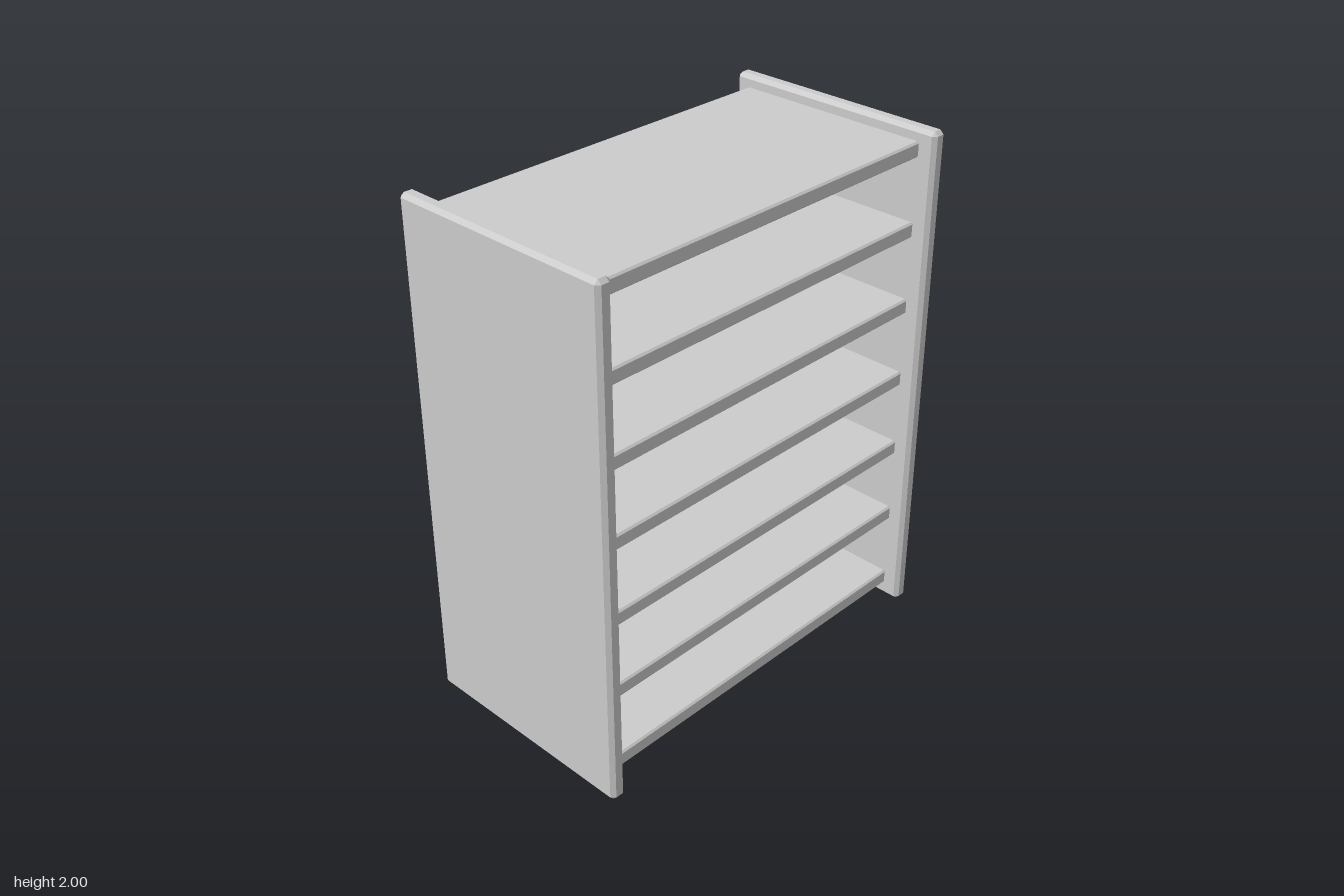
import * as THREE from 'three';
import { ConvexGeometry } from 'three/addons/geometries/ConvexGeometry.js';

const material = new THREE.MeshStandardMaterial({ color: 0xcccccc, flatShading: true });

// Box with every edge and corner cut by a flat chamfer
function chamferedBox(w, h, d, c) {
  const points = [];
  for (const sx of [-1, 1]) for (const sy of [-1, 1]) for (const sz of [-1, 1]) {
    const x = w / 2, y = h / 2, z = d / 2;
    points.push(
      new THREE.Vector3(sx * x, sy * (y - c), sz * (z - c)),
      new THREE.Vector3(sx * (x - c), sy * y, sz * (z - c)),
      new THREE.Vector3(sx * (x - c), sy * (y - c), sz * z)
    );
  }
  return new ConvexGeometry(points);
}

export function createModel() {
  const group = new THREE.Group();
  group.name = 'shelfUnit';

  const add = (name, geometry, x, y) => {
    const mesh = new THREE.Mesh(geometry, material);
    mesh.name = name;
    mesh.position.set(x, y, 0);
    group.add(mesh);
  };

  // Upright side panels
  const panel = chamferedBox(0.061, 2, 0.92, 0.015);
  add('leftPanel', panel, 0.793, 1);
  add('rightPanel', panel, -0.793, 1);

  // Seven shelves, the bottom one set slightly lower
  const shelf = chamferedBox(1.525, 0.06, 0.796, 0.007);
  for (let i = 0; i < 7; i++) {
    add(`shelf${i + 1}`, shelf, 0, i === 0 ? 0.093 : 0.1 + i * 0.3045);
  }

  return group;
}
